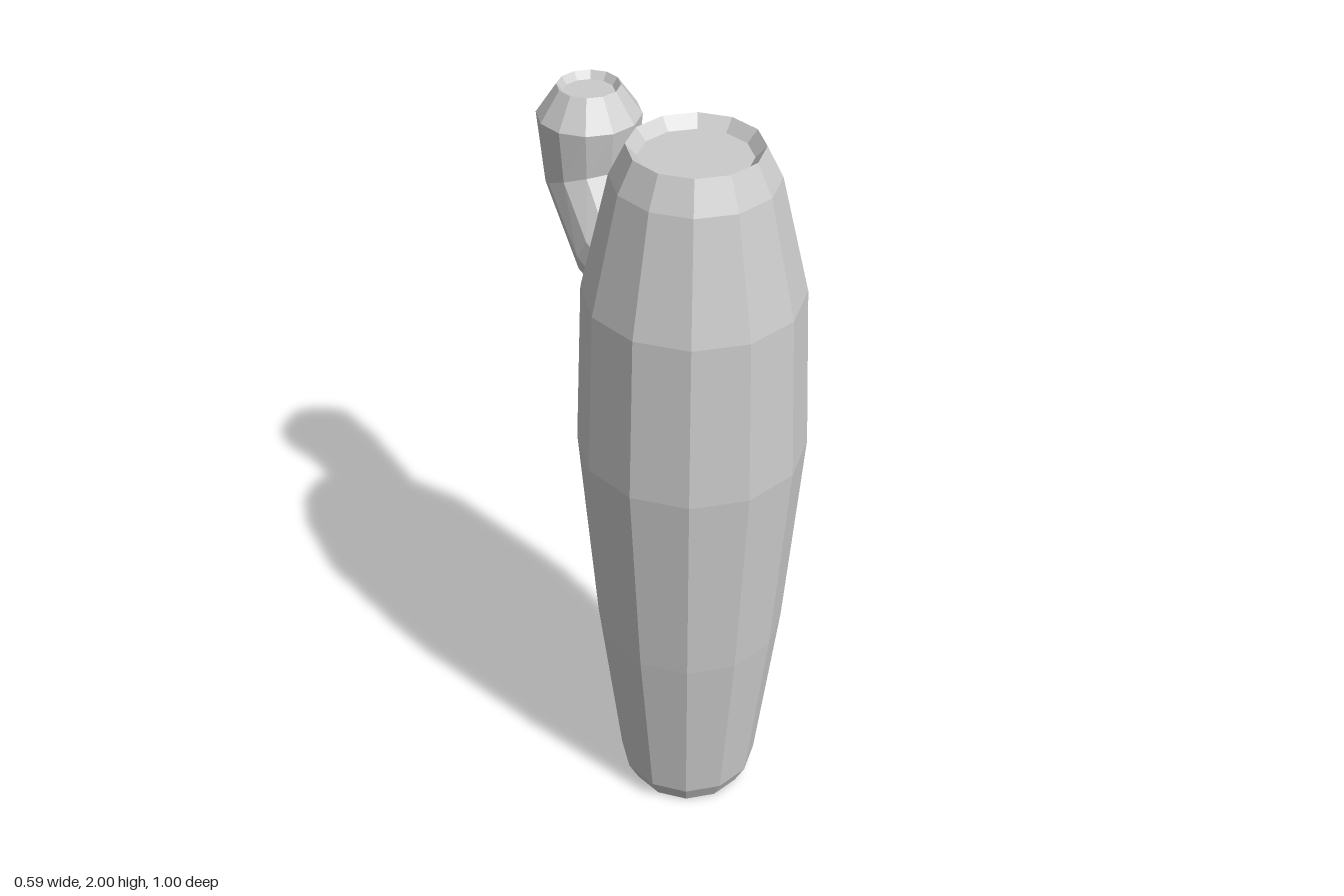
import * as THREE from 'three';

const SIDES = 12;

// Joins rings into a faceted skin with flat caps on both ends.
// A ring is { y, z, r, vy, vz }: centre, half width along x, and the second half axis in the yz plane.
function loft(rings, name) {
  const positions = [];
  const point = (ring, i) => {
    const t = (i / SIDES) * Math.PI * 2;
    return [ring.r * Math.cos(t), ring.y + ring.vy * Math.sin(t), ring.z + ring.vz * Math.sin(t)];
  };
  const first = rings[0];
  const last = rings[rings.length - 1];
  for (let i = 0; i < SIDES; i++) {
    for (let k = 0; k < rings.length - 1; k++) {
      const a = point(rings[k], i), b = point(rings[k], i + 1);
      const c = point(rings[k + 1], i + 1), d = point(rings[k + 1], i);
      positions.push(...a, ...b, ...c, ...a, ...c, ...d);
    }
    positions.push(0, first.y, first.z, ...point(first, i + 1), ...point(first, i));
    positions.push(0, last.y, last.z, ...point(last, i), ...point(last, i + 1));
  }
  const geometry = new THREE.BufferGeometry();
  geometry.setAttribute('position', new THREE.Float32BufferAttribute(positions, 3));
  geometry.computeVertexNormals();
  const material = new THREE.MeshStandardMaterial({ color: 0xcccccc, flatShading: true });
  const mesh = new THREE.Mesh(geometry, material);
  mesh.name = name;
  return mesh;
}

// Horizontal ring
const level = (r, y, z) => ({ y, z, r, vy: 0, vz: -r });

// Tilted ring from its outer and inner extreme points, each [z, y]
const tilted = (r, outer, inner) => ({
  y: (outer[1] + inner[1]) / 2,
  z: (outer[0] + inner[0]) / 2,
  r,
  vy: (outer[1] - inner[1]) / 2,
  vz: (outer[0] - inner[0]) / 2,
});

export function createModel() {
  const group = new THREE.Group();
  group.name = 'cactus';

  // Barrel-shaped trunk; the last ring is the sunken top
  const trunkProfile = [
    [0.16, 0], [0.19, 0.06], [0.25, 0.57], [0.295, 1.16],
    [0.277, 1.61], [0.205, 1.92], [0.165, 2], [0.138, 1.97],
  ];
  group.add(loft(trunkProfile.map(([r, y]) => level(r, y, 0.205)), 'trunk'));

  // Arm bending up from the back of the trunk, with a sunken tip
  group.add(loft([
    tilted(0.092, [0, 1.365], [0.02, 1.545]),
    tilted(0.112, [-0.27, 1.4], [-0.17, 1.61]),
    tilted(0.125, [-0.468, 1.61], [-0.24, 1.71]),
    level(0.138, 1.83, -0.362),
    level(0.083, 1.91, -0.362),
    level(0.068, 1.89, -0.362),
  ], 'arm'));

  return group;
}
